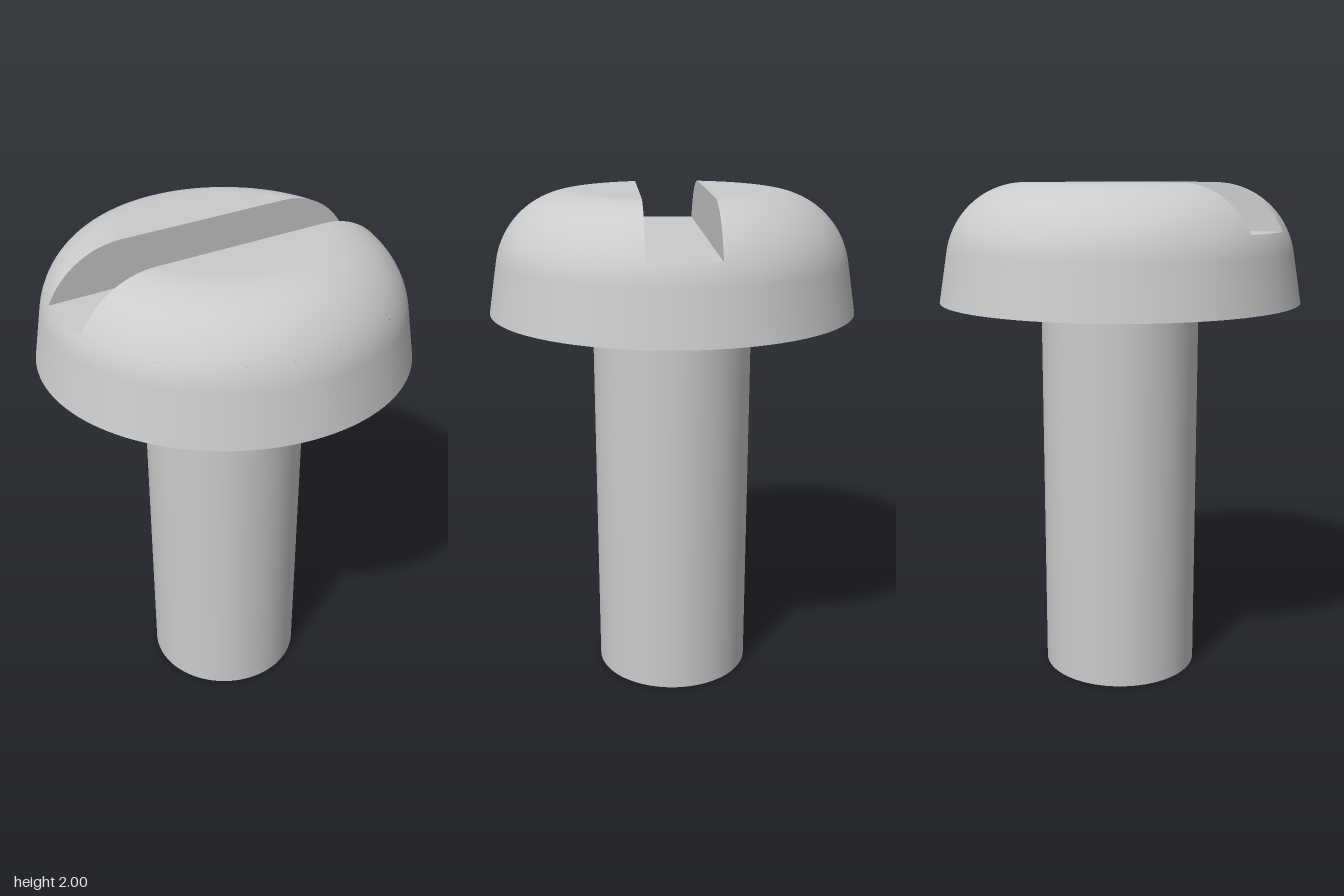
import * as THREE from 'three';

const SHAFT_R = 0.315, HEAD_R = 0.715, HEAD_Y = 1.54;
const ARC_R = 0.316, ARC_X = 0.37, ARC_Y = 2 - ARC_R; // rounded shoulder of the head
const DRAFT = THREE.MathUtils.degToRad(10); // taper of the head's side
const SLOT = 0.13, FLOOR_Y = 1.82; // half width and floor of the slot
const FLOOR_A = Math.asin((FLOOR_Y - ARC_Y) / ARC_R); // shoulder angle at the slot floor

// Profile rows along the shoulder arc, with the slope angle of the surface
function arcRows(from, to, steps) {
  return Array.from({ length: steps + 1 }, (_, i) => {
    const a = from + ((to - from) * i) / steps;
    return { r: ARC_X + ARC_R * Math.cos(a), y: ARC_Y + ARC_R * Math.sin(a), a };
  });
}

// Revolve rows around y; a gap trims the sweep to the part where z > gap
function revolve(rows, cols, gap) {
  const pos = [], nor = [], idx = [];
  rows.forEach(({ r, y, a }, i) => {
    const start = gap ? Math.asin(gap / r) : 0;
    const end = gap ? Math.PI - start : Math.PI * 2;
    for (let j = 0; j <= cols; j++) {
      const t = start + ((end - start) * j) / cols;
      pos.push(r * Math.cos(t), y, r * Math.sin(t));
      nor.push(Math.cos(a) * Math.cos(t), Math.sin(a), Math.cos(a) * Math.sin(t));
      if (i < rows.length - 1 && j < cols) {
        const p = i * (cols + 1) + j, q = p + cols + 1;
        idx.push(p, q, p + 1, q, q + 1, p + 1);
      }
    }
  });
  const g = new THREE.BufferGeometry();
  g.setAttribute('position', new THREE.Float32BufferAttribute(pos, 3));
  g.setAttribute('normal', new THREE.Float32BufferAttribute(nor, 3));
  g.setIndex(idx);
  return g;
}

export function createModel() {
  const model = new THREE.Group();
  model.name = 'slottedScrew';
  const material = new THREE.MeshStandardMaterial({ color: 0xcccccc });
  const add = (parent, name, geometry) => {
    const mesh = new THREE.Mesh(geometry, material);
    mesh.name = name;
    parent.add(mesh);
  };

  // Plain round shaft, closed at the bottom
  add(model, 'shaft', new THREE.CylinderGeometry(SHAFT_R, SHAFT_R, HEAD_Y, 96, 1, true).translate(0, HEAD_Y / 2, 0));
  add(model, 'shaftEnd', new THREE.CircleGeometry(SHAFT_R, 96).rotateX(Math.PI / 2));

  // Underside and lower side of the head
  add(model, 'headUnderside', new THREE.RingGeometry(SHAFT_R, HEAD_R, 128).rotateX(Math.PI / 2).translate(0, HEAD_Y, 0));
  const skirt = [{ r: HEAD_R, y: HEAD_Y, a: DRAFT }, ...arcRows(DRAFT, FLOOR_A, 6)];
  add(model, 'headSide', revolve(skirt, 128, 0));

  // Slot floor: a strip with curved ends
  const floorR = ARC_X + ARC_R * Math.cos(FLOOR_A);
  const b = Math.asin(SLOT / floorR);
  const floor = new THREE.Shape();
  floor.absarc(0, 0, floorR, -b, b, false);
  floor.absarc(0, 0, floorR, Math.PI - b, Math.PI + b, false);
  add(model, 'slotFloor', new THREE.ShapeGeometry(floor, 12).rotateX(-Math.PI / 2).translate(0, FLOOR_Y, 0));

  // The two domed halves on either side of the slot
  const rows = arcRows(FLOOR_A, Math.PI / 2, 20);
  const edge = rows.map(({ r, y }) => new THREE.Vector2(Math.sqrt(r * r - SLOT * SLOT), y));
  const mirrored = edge.map((p) => new THREE.Vector2(-p.x, p.y)).reverse();
  const wall = new THREE.Shape([...edge, ...mirrored]);
  const c = Math.asin(SLOT / ARC_X);
  const flat = new THREE.Shape();
  flat.absarc(0, 0, ARC_X, c - Math.PI, -c, false);
  for (const [name, turn] of [['frontHeadHalf', 0], ['backHeadHalf', Math.PI]]) {
    const half = new THREE.Group();
    half.name = name;
    half.rotation.y = turn;
    add(half, 'dome', revolve(rows, 64, SLOT));
    add(half, 'flatTop', new THREE.ShapeGeometry(flat, 64).rotateX(-Math.PI / 2).translate(0, 2, 0));
    add(half, 'slotWall', new THREE.ShapeGeometry(wall).rotateY(Math.PI).translate(0, 0, SLOT));
    model.add(half);
  }
  return model;
}
